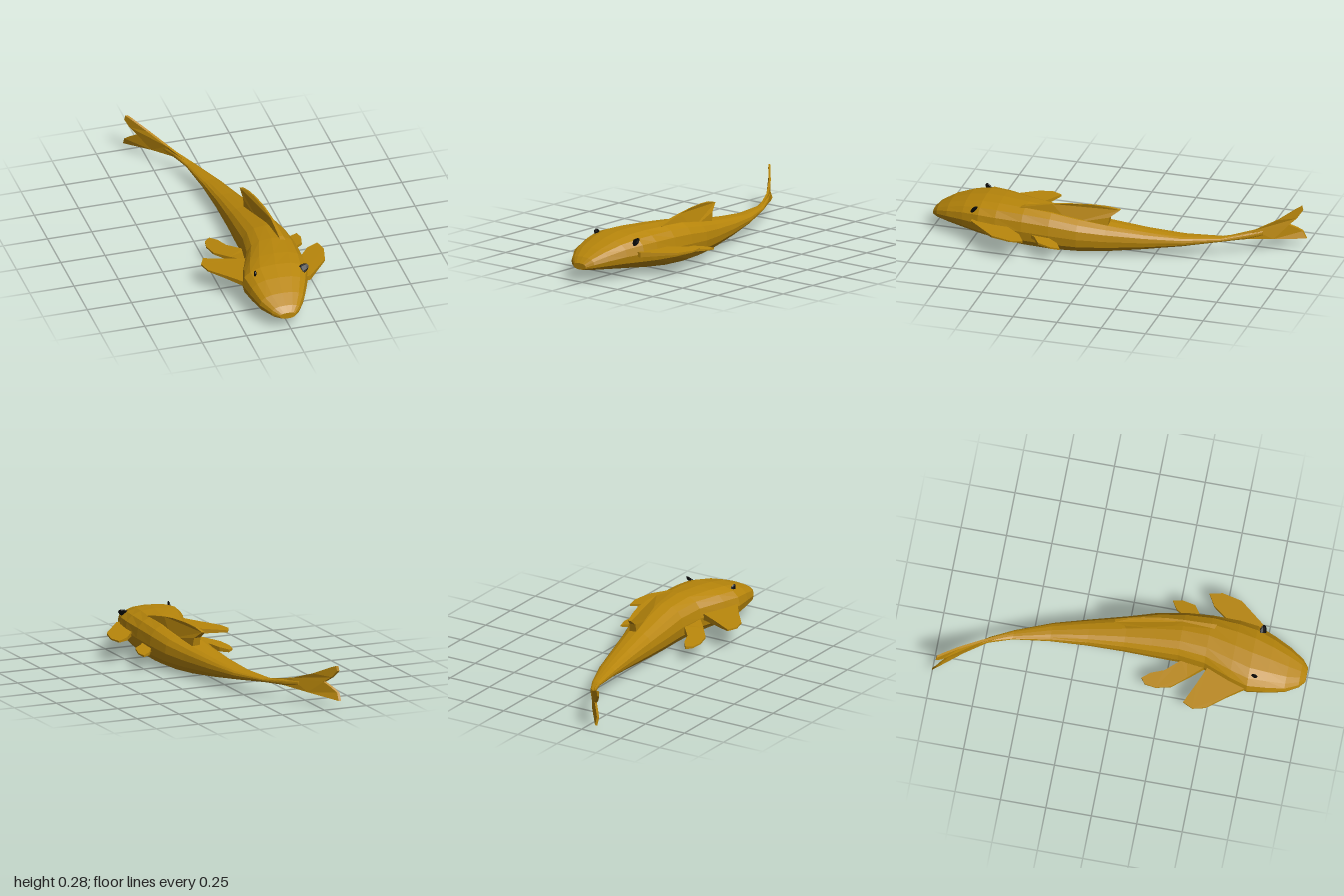
import * as THREE from 'three';

const skin = new THREE.MeshStandardMaterial({ color: 0xb8860b, flatShading: true, side: THREE.DoubleSide });
const black = new THREE.MeshStandardMaterial({ color: 0x080808, flatShading: true });

// body stations from nose to tail root: z, left edge x, right edge x, bottom y, top y
const stations = [
  [1.0, -0.06, 0.025, 0.07, 0.105], [0.97, -0.1, 0.06, 0.064, 0.135], [0.9, -0.145, 0.105, 0.056, 0.173],
  [0.8, -0.17, 0.15, 0.045, 0.21], [0.7, -0.185, 0.188, 0.034, 0.232], [0.6, -0.155, 0.2, 0.021, 0.239],
  [0.45, -0.095, 0.201, 0.007, 0.24], [0.3, -0.072, 0.192, 0.001, 0.228], [0.15, -0.068, 0.17, 0.003, 0.2],
  [0, -0.063, 0.128, 0.011, 0.172], [-0.2, -0.068, 0.076, 0.034, 0.142], [-0.4, -0.084, 0.02, 0.061, 0.118],
  [-0.6, -0.115, -0.062, 0.085, 0.109], [-0.72, -0.158, -0.128, 0.09, 0.122], [-0.8, -0.2, -0.185, 0.1, 0.125],
];
const SIDES = 16, POWER = 2 / 2.5;

// station values at any z
function sectionAt(z) {
  let i = 0;
  while (i < stations.length - 2 && stations[i + 1][0] > z) i++;
  const a = stations[i], b = stations[i + 1], t = (z - a[0]) / (b[0] - a[0]);
  return a.map((v, k) => v + (b[k] - v) * t);
}

// point on the rounded-square cross-section
function sectionPoint([z, x0, x1, y0, y1], angle) {
  const c = Math.cos(angle), s = Math.sin(angle);
  const px = Math.sign(c) * Math.abs(c) ** POWER, py = Math.sign(s) * Math.abs(s) ** POWER;
  return new THREE.Vector3((x0 + x1) / 2 + px * (x1 - x0) / 2, (y0 + y1) / 2 + py * (y1 - y0) / 2, z);
}

function bodyGeometry() {
  const pos = [], index = [];
  for (const s of stations)
    for (let j = 0; j < SIDES; j++) pos.push(...sectionPoint(s, (j / SIDES) * Math.PI * 2).toArray());
  const last = stations.length - 1;
  for (let i = 0; i < last; i++)
    for (let j = 0; j < SIDES; j++) {
      const k = (j + 1) % SIDES, a = i * SIDES, b = a + SIDES;
      index.push(a + j, b + j, a + k, a + k, b + j, b + k);
    }
  // close the nose and the tail root
  for (let j = 1; j < SIDES - 1; j++) {
    index.push(0, j, j + 1, last * SIDES, last * SIDES + j + 1, last * SIDES + j);
  }
  const g = new THREE.BufferGeometry();
  g.setAttribute('position', new THREE.Float32BufferAttribute(pos, 3));
  g.setIndex(index);
  g.computeVertexNormals();
  return g;
}

// thin plate from an outline, centred on its thickness
function plate(points, depth) {
  const shape = new THREE.Shape(points.map(([x, y]) => new THREE.Vector2(x, y)));
  return new THREE.ExtrudeGeometry(shape, { depth, bevelEnabled: false }).translate(0, 0, -depth / 2);
}

function reshape(g, rule) {
  const p = g.attributes.position, v = new THREE.Vector3();
  for (let i = 0; i < p.count; i++) {
    rule(v.fromBufferAttribute(p, i));
    p.setXYZ(i, v.x, v.y, v.z);
  }
  g.computeVertexNormals();
  return g;
}

// upright fin: outline in (z, y), bent along x by a path of [z, x]
function uprightFin(points, path, depth, taper) {
  return reshape(plate(points, depth).rotateY(-Math.PI / 2), (v) => {
    let i = 0;
    while (i < path.length - 2 && path[i + 1][0] > v.z) i++;
    const [za, xa] = path[i], [zb, xb] = path[i + 1];
    v.x = v.x * taper(v.y, v.z) + xa + ((xb - xa) * (v.z - za)) / (zb - za);
  });
}

// flat side fin: outline in (x, z), thick at the root and thin at the tip
function sideFin(points, y, slope, reach) {
  const zMid = points.reduce((s, p) => s + p[1], 0) / points.length;
  return reshape(plate(points.map(([x, z]) => [x, -z]), 0.04).rotateX(-Math.PI / 2), (v) => {
    const t = THREE.MathUtils.clamp((Math.abs(v.x) - 0.08) / (reach - 0.08), 0, 1);
    v.y = v.y * (1 - 0.8 * t) + y + slope * (v.z - zMid);
  });
}

export function createModel() {
  const fish = new THREE.Group();
  fish.name = 'fish';
  const add = (name, geometry, material = skin) => {
    const mesh = new THREE.Mesh(geometry, material);
    mesh.name = name;
    fish.add(mesh);
    return mesh;
  };

  add('body', bodyGeometry());

  // forked tail
  add('tailFin', uprightFin(
    [[-0.6, 0.088], [-0.72, 0.09], [-0.85, 0.07], [-1, 0.043], [-0.98, 0.085], [-0.955, 0.11], [-0.92, 0.138],
      [-0.955, 0.168], [-0.98, 0.205], [-0.975, 0.233], [-0.95, 0.222], [-0.87, 0.178], [-0.76, 0.136], [-0.6, 0.106]],
    [[-0.6, -0.088], [-0.72, -0.143], [-0.85, -0.228], [-0.98, -0.342], [-1, -0.343]], 0.018, () => 0.8));

  // swept back fin
  add('dorsalFin', uprightFin(
    [[0.48, 0.232], [0.45, 0.242], [0.3, 0.268], [0.2, 0.278], [0.08, 0.279], [0, 0.272], [-0.065, 0.254],
      [-0.012, 0.214], [0, 0.15], [0.2, 0.17], [0.4, 0.2]],
    [[0.48, 0.11], [0.3, 0.1], [0.15, 0.085], [0, 0.055], [-0.065, 0.038]], 0.045,
    (y) => THREE.MathUtils.clamp((0.29 - y) / 0.09, 0.2, 1)));

  // paired fins, shaped unevenly by the bend of the body
  add('rightPectoralFin', sideFin(
    [[-0.08, 0.68], [-0.175, 0.69], [-0.24, 0.6], [-0.32, 0.5], [-0.337, 0.43], [-0.31, 0.375], [-0.2, 0.425],
      [-0.07, 0.48]], 0.128, 0.02, 0.33));
  add('leftPectoralFin', sideFin(
    [[0.12, 0.74], [0.19, 0.735], [0.26, 0.65], [0.318, 0.58], [0.344, 0.47], [0.328, 0.4], [0.26, 0.44],
      [0.2, 0.52], [0.12, 0.55]], 0.13, 0.02, 0.34));
  add('rightPelvicFin', sideFin(
    [[-0.03, 0.47], [-0.08, 0.46], [-0.16, 0.37], [-0.225, 0.29], [-0.242, 0.21], [-0.232, 0.15], [-0.2, 0.125],
      [-0.165, 0.17], [-0.14, 0.24], [-0.07, 0.32], [-0.03, 0.34]], 0.093, 0.06, 0.24));
  add('leftPelvicFin', sideFin(
    [[0.12, 0.4], [0.19, 0.4], [0.21, 0.25 + 0.12], [0.26, 0.335], [0.278, 0.26], [0.268, 0.21], [0.22, 0.24],
      [0.19, 0.29], [0.12, 0.32]], 0.093, 0.1, 0.28));

  // eyes: flat discs laid on the surface of the head
  for (const [name, angle] of [['leftEye', 0.66], ['rightEye', Math.PI - 0.92]]) {
    const at = (a, z) => sectionPoint(sectionAt(z), a);
    const p = at(angle, 0.73);
    const along = at(angle, 0.77).sub(at(angle, 0.69)).normalize();
    const around = at(angle + 0.2, 0.73).sub(at(angle - 0.2, 0.73));
    const out = around.cross(along).normalize();
    const up = along.clone().cross(out);
    const eye = add(name, new THREE.SphereGeometry(1, 8, 6), black);
    eye.scale.set(0.04, 0.029, 0.011);
    eye.quaternion.setFromRotationMatrix(new THREE.Matrix4().makeBasis(along, up, out));
    eye.position.copy(p);
  }
  return fish;
}
